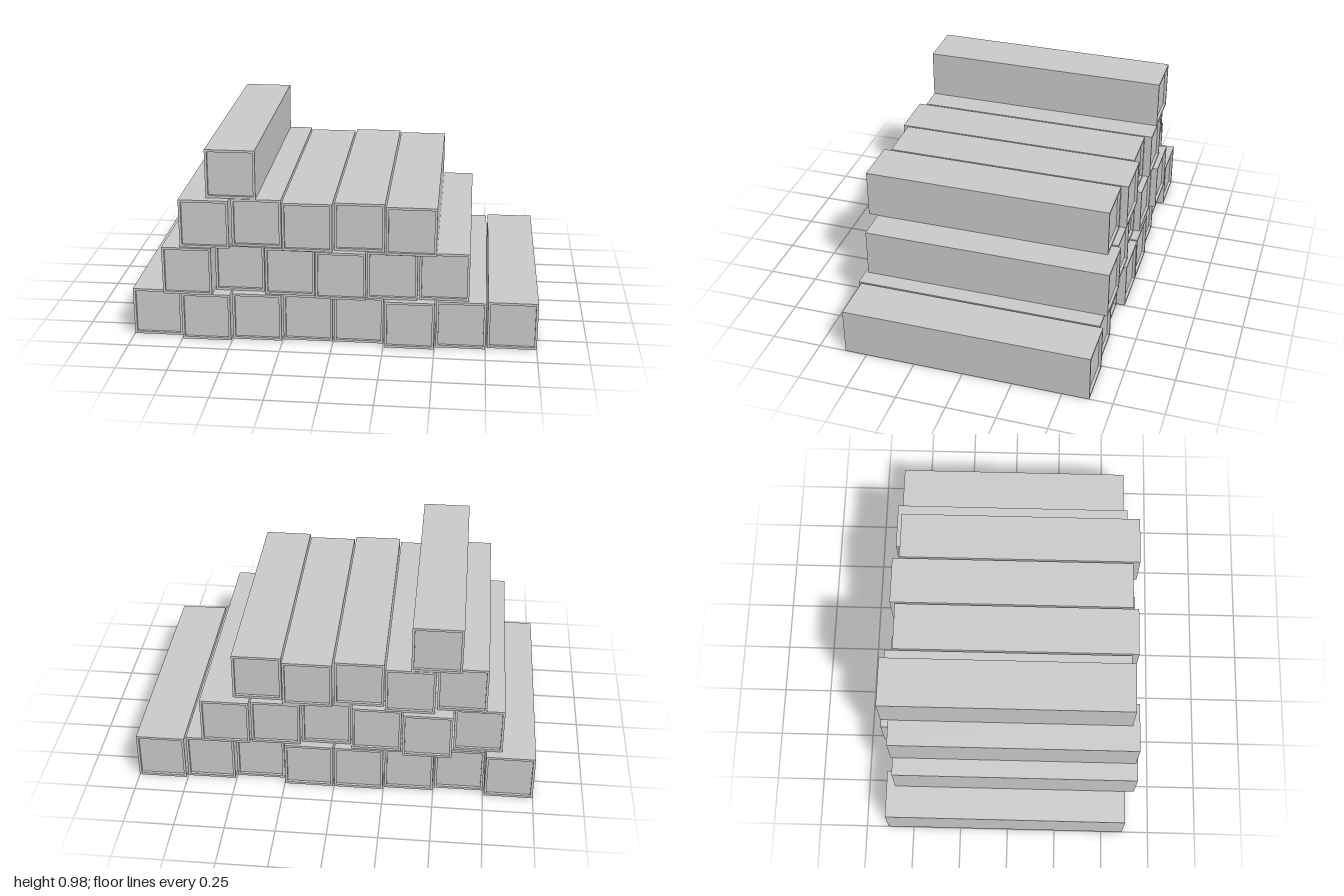
import * as THREE from 'three';

const SIZE = 0.243, LENGTH = 1.246, PITCH = 0.251, RISE = 0.2445;
const RIM = 0.012, RECESS = 0.014;

// Rows from the ground up: centre x of the first beam, then each beam's slide along z
const ROWS = [
  { x: -0.878, slides: [-0.012, 0.025, 0.004, -0.012, -0.012, 0.031, 0.005, -0.012] },
  { x: -0.713, slides: [0.034, -0.037, -0.005, 0.027, 0.002, -0.012] },
  { x: -0.623, slides: [0.025, -0.012, 0.025, -0.002, 0.034] },
  { x: -0.494, slides: [-0.012] },
];

// Square beam with a shallow recessed panel at both ends: a four-sided lathe laid along z
function beamGeometry() {
  const h = LENGTH / 2;
  const outer = SIZE / Math.SQRT2;
  const inner = (SIZE - 2 * RIM) / Math.SQRT2;
  const profile = [
    [0, -h + RECESS], [inner, -h + RECESS], [inner, -h], [outer, -h],
    [outer, h], [inner, h], [inner, h - RECESS], [0, h - RECESS],
  ].map(([r, y]) => new THREE.Vector2(r, y));
  const geometry = new THREE.LatheGeometry(profile, 4, Math.PI / 4).toNonIndexed();
  geometry.rotateX(Math.PI / 2);
  geometry.computeVertexNormals();
  return geometry;
}

export function createModel() {
  const model = new THREE.Group();
  model.name = 'beamStack';
  const material = new THREE.MeshStandardMaterial({ color: 0xcccccc, flatShading: true });
  const geometry = beamGeometry();

  // Stack the rows, each beam slid a little forwards or back
  ROWS.forEach(({ x, slides }, r) => {
    const row = new THREE.Group();
    row.name = `row${r + 1}`;
    row.position.y = SIZE / 2 + r * RISE;
    slides.forEach((z, i) => {
      const beam = new THREE.Mesh(geometry, material);
      beam.name = `beam${i + 1}`;
      beam.position.set(x + i * PITCH, 0, z);
      row.add(beam);
    });
    model.add(row);
  });
  return model;
}
